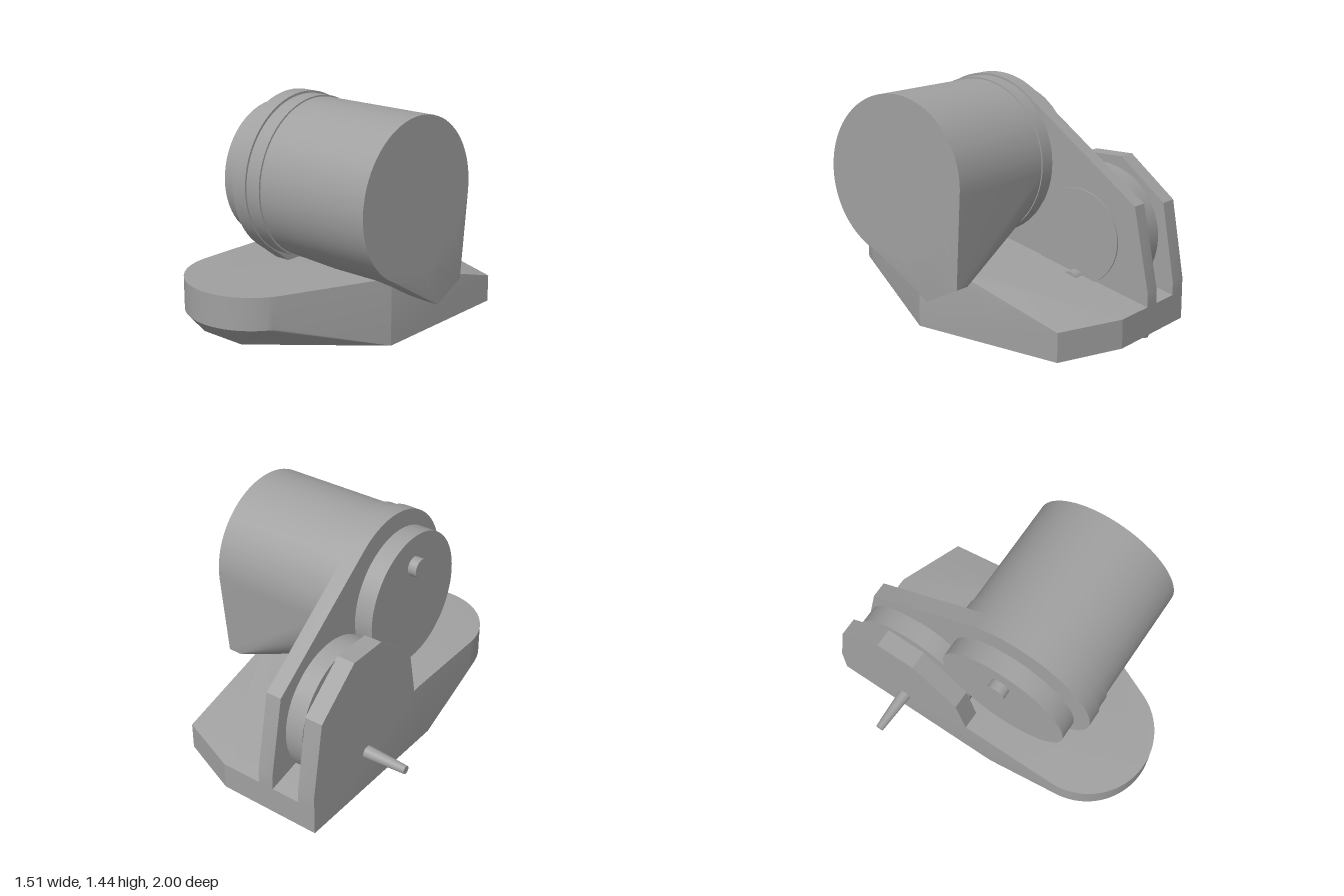
import * as THREE from 'three';
import { toCreasedNormals } from 'three/addons/utils/BufferGeometryUtils.js';
import { ConvexGeometry } from 'three/addons/geometries/ConvexGeometry.js';

export function createModel() {
  const model = new THREE.Group();
  const grey = new THREE.MeshStandardMaterial({ color: 0xa0a0a0 });
  grey.name = 'grey';

  const add = (name, geometry) => {
    const mesh = new THREE.Mesh(geometry, grey);
    mesh.name = name;
    model.add(mesh);
    return mesh;
  };
  // Disc lying across x, from x0 to x1
  const disc = (name, x0, x1, y, z, r0, r1 = r0) => {
    const g = new THREE.CylinderGeometry(r0, r1, x1 - x0, 64).rotateZ(Math.PI / 2);
    return add(name, g.translate((x0 + x1) / 2, y, z));
  };
  // Side profile drawn in (z, y), given thickness from x0 to x1
  const plate = (name, shape, x0, x1) => {
    const g = new THREE.ExtrudeGeometry(shape, { depth: x1 - x0, bevelEnabled: false, curveSegments: 48 });
    return add(name, toCreasedNormals(g.rotateY(-Math.PI / 2).translate(x1, 0, 0), 0.4));
  };
  const hull = (name, points) => {
    const g = new ConvexGeometry(points.map((p) => new THREE.Vector3(...p)));
    return add(name, toCreasedNormals(g, 0.35));
  };

  // Base: rounded nose, flat deck, rear ramp and chamfered underside
  const base = [
    [-0.49, 0.445, 0], [0.5, 0.445, 0], [0.545, 0.445, 0.195], [0.563, 0.43, 0.155],
    [0.57, 0.41, 0.14], [0.57, 0.41, -0.14],
    [0.57, 0.2, -0.84], [0.17, 0.2, -1], [-0.49, 0.2, -1],
    [0.57, 0.03, -0.84], [0.17, 0.03, -1], [-0.49, 0.03, -1],
    [0.57, 0.03, 0.14], [-0.49, 0.03, 0.14],
    [-0.25, 0.115, 0.84], [0.05, 0.115, 0.84],
  ];
  for (let i = 0; i <= 40; i++) {
    const a = 0.43 + (Math.PI - 0.43) * (i / 40);
    const x = -0.08 + 0.41 * Math.cos(a), z = 0.59 + 0.41 * Math.sin(a);
    base.push([x, 0.445, z], [x, 0.25, z]);
  }
  hull('base', base);

  // Tapered foot under the rear of the base
  const foot = add('foot', new THREE.CylinderGeometry(0.045, 0.03, 0.035, 32));
  foot.position.set(-0.145, 0.0175, -0.945);

  // Crank-side support plate
  const support = new THREE.Shape([
    [-1, 0.2], [-0.03, 0.43], [-0.09, 0.745], [-0.38, 0.985],
    [-0.63, 0.985], [-0.92, 0.745], [-1, 0.28],
  ].map((p) => new THREE.Vector2(...p)));
  plate('supportPlate', support, -0.49, -0.377);

  // Large arm with a round head
  const arm = new THREE.Shape();
  arm.moveTo(-1, 0.2);
  arm.lineTo(0.1, 0.297);
  arm.absarc(0.155, 0.953, 0.49, -0.92, 2.21, false);
  arm.lineTo(-0.9, 0.775);
  arm.lineTo(-1, 0.28);
  plate('arm', arm, -0.193, -0.093);

  // Upper wheel with its spacer and handle pin
  disc('upperSpacer', -0.23, -0.19, 0.95, 0.145, 0.29);
  disc('upperWheel', -0.345, -0.228, 0.945, 0.145, 0.415);
  disc('upperPin', -0.4, -0.34, 1.172, 0.138, 0.058);

  // Lower wheel with spacers on both sides
  disc('lowerOuterSpacer', -0.38, -0.34, 0.54, -0.505, 0.3);
  disc('lowerWheel', -0.345, -0.228, 0.54, -0.505, 0.405);
  disc('lowerInnerSpacer', -0.23, -0.19, 0.54, -0.505, 0.29);
  disc('bearingCap', -0.1, -0.083, 0.54, -0.505, 0.29);

  // Crank pin outside and its shaft end inside
  disc('crankPin', -0.76, -0.48, 0.29, -0.505, 0.025, 0.04);
  disc('shaftEnd', -0.1, -0.02, 0.29, -0.51, 0.05);

  // Drum: round collar, then a body that swells to a pointed lower edge
  disc('collar', -0.095, 0.005, 0.948, 0.152, 0.482);
  const drum = [];
  for (let i = 0; i < 72; i++) {
    const a = (i / 72) * Math.PI * 2;
    const y = 0.948 + 0.473 * Math.sin(a), z = 0.15 + 0.473 * Math.cos(a);
    drum.push([0, y, z], [0.755, y, z]);
  }
  for (const x of [0.65, 0.742]) drum.push([x, 0.268, -0.07], [x, 0.372, -0.285]);
  hull('drum', drum);

  return model;
}
